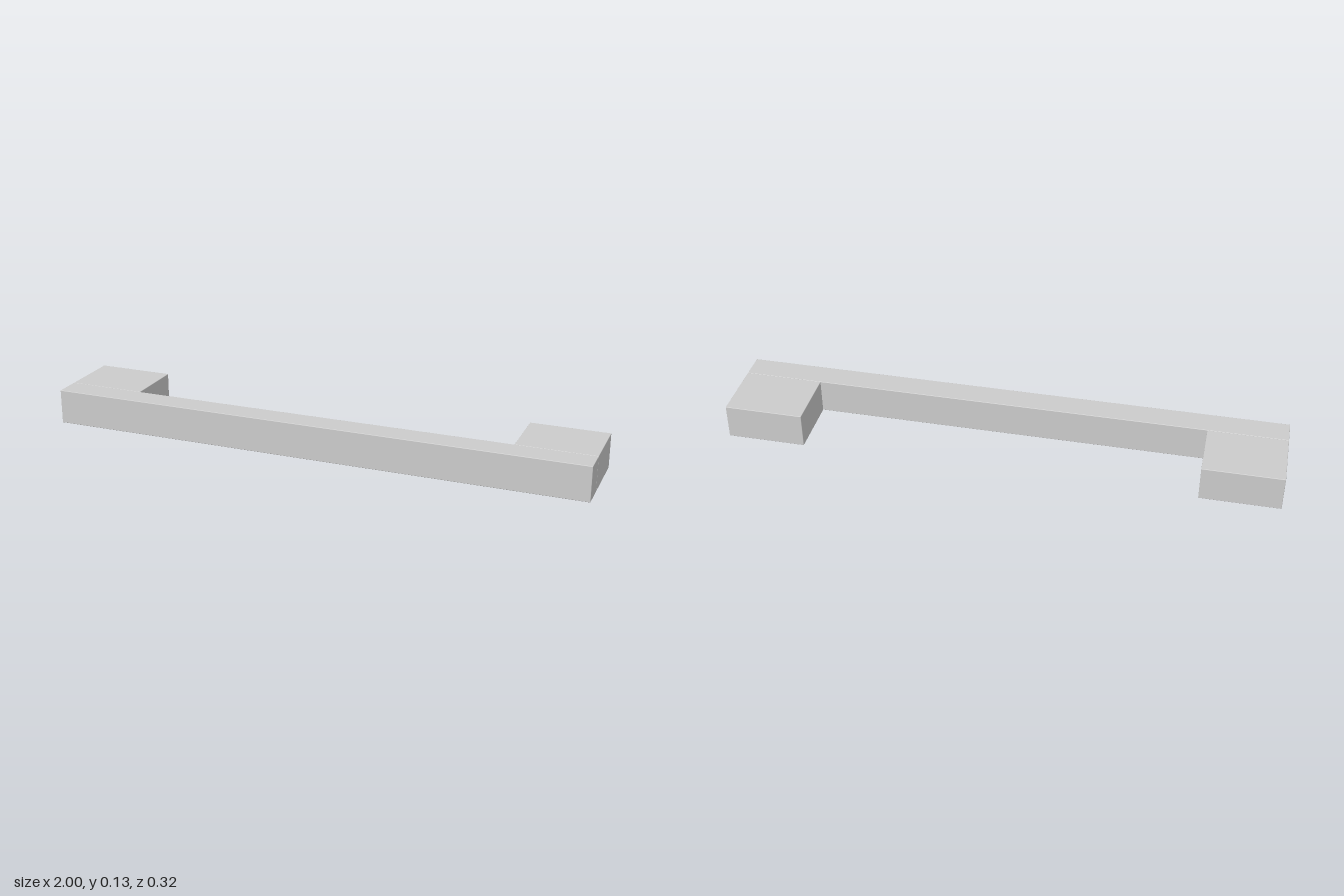
import * as THREE from 'three';
import { RoundedBoxGeometry } from 'three/addons/geometries/RoundedBoxGeometry.js';

const HEIGHT = 0.128;
const EDGE = 0.002; // tiny softened edge
const SEAM_Z = 0.065; // where the bar meets the mounts

export function createModel() {
  const model = new THREE.Group();
  const material = new THREE.MeshStandardMaterial({ color: 0xcccccc });

  // Block standing on y = 0, given by its x and z extents
  const addBlock = (name, x0, x1, z0, z1) => {
    const geometry = new RoundedBoxGeometry(x1 - x0, HEIGHT, z1 - z0, 2, EDGE);
    const mesh = new THREE.Mesh(geometry, material);
    mesh.name = name;
    mesh.position.set((x0 + x1) / 2, HEIGHT / 2, (z0 + z1) / 2);
    model.add(mesh);
  };

  // Long grip bar across the front
  addBlock('gripBar', -1, 1, SEAM_Z, 0.16);

  // Mounting blocks behind both ends
  addBlock('leftMount', 0.715, 1, -0.16, SEAM_Z);
  addBlock('rightMount', -1, -0.715, -0.16, SEAM_Z);

  return model;
}
